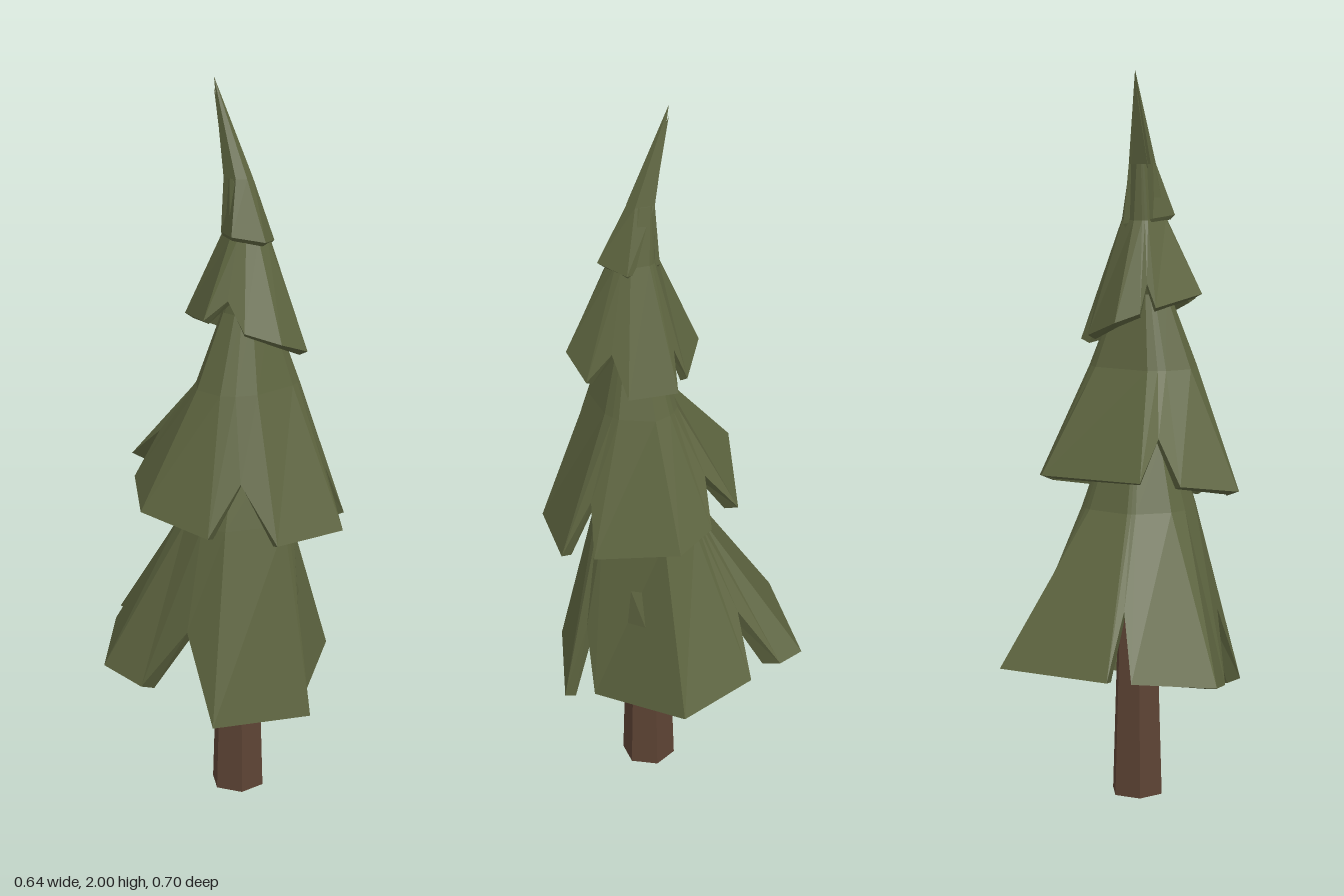
import * as THREE from 'three';

const green = new THREE.MeshStandardMaterial({ color: 0x5e6540, flatShading: true, side: THREE.DoubleSide });
const brown = new THREE.MeshStandardMaterial({ color: 0x5d4334, flatShading: true });

const angleFrom = (ring, p) => Math.atan2(p.z - ring.z, p.x - ring.x);

// Point on a horizontal ring, with depth as its z to x ratio
const onRing = (ring, angle, depth) => new THREE.Vector3(
  ring.x + ring.r * Math.cos(angle), ring.y, ring.z + ring.r * depth * Math.sin(angle));

// Moves a point towards the axis of a ring to give the skirt its thickness
const inset = (p, ring, scale, drop) => new THREE.Vector3(
  ring.x + (p.x - ring.x) * scale, p.y - drop, ring.z + (p.z - ring.z) * scale);

// Hem of a tier: bough corners on a tilted plane, with a V notch between neighbouring boughs
function hemPoints({ ring, depth, tilt, notch, boughs }) {
  const onHem = ([x, z]) => new THREE.Vector3(x, tilt.y + tilt.x * x + tilt.z * z, z);
  return boughs.flatMap((bough, i) => {
    const corners = bough.map(onHem);
    if (boughs.length === 1) return corners;
    const following = onHem(boughs[(i + 1) % boughs.length][0]);
    const gap = corners[corners.length - 1].clone().lerp(following, 0.5);
    gap.lerp(onRing(ring, angleFrom(ring, gap), depth), notch);
    return [...corners, gap];
  });
}

// Thick skirt: outer wall down to the hem, a rim, then the inner wall back up
function addTier(tree, name, tier) {
  const { top, ring, depth } = tier;
  const columns = hemPoints(tier).map((hem) => {
    const angle = angleFrom(ring, hem);
    const upper = onRing(top, angle, depth);
    const middle = onRing(ring, angle, depth);
    return [upper, middle, hem, inset(hem, ring, 0.87, 0.012), inset(middle, ring, 0.8, 0.03), inset(upper, top, 0.7, 0.03)];
  });

  const triangles = [];
  columns.forEach((col, i) => {
    const next = columns[(i + 1) % columns.length];
    for (let r = 0; r < col.length - 1; r++) {
      triangles.push(next[r + 1], col[r + 1], col[r]);
      if (!next[r].equals(col[r])) triangles.push(next[r + 1], col[r], next[r]);
    }
  });
  const geometry = new THREE.BufferGeometry().setFromPoints(triangles);
  geometry.computeVertexNormals();
  const mesh = new THREE.Mesh(geometry, green);
  mesh.name = name;
  tree.add(mesh);
}

export function createModel() {
  const tree = new THREE.Group();
  tree.name = 'pineTree';

  // Six-sided tapered trunk
  const trunk = new THREE.Mesh(new THREE.CylinderGeometry(0.045, 0.075, 0.95, 6).rotateY(Math.PI / 6), brown);
  trunk.name = 'trunk';
  trunk.position.set(0, 0.475, 0.0625);
  tree.add(trunk);

  // Branch tiers from the bottom up; bough corners are [x, z] in the order right, front, left, back
  addTier(tree, 'lowerBranches', {
    top: { x: 0, y: 1.0, z: 0.08, r: 0.1 },
    ring: { x: 0, y: 0.82, z: 0.07, r: 0.16 },
    depth: 1, notch: 0.42, tilt: { x: 0, y: 0.355, z: -0.2 },
    boughs: [
      [[0.27, -0.145], [0.32, 0.07], [0.08, 0.25]],
      [[0.04, 0.325], [-0.235, 0.245]],
      [[-0.29, 0], [-0.32, -0.13], [-0.15, -0.305]],
      [[-0.1, -0.35], [0.235, -0.31], [0.25, -0.24]],
    ],
  });

  addTier(tree, 'middleBranches', {
    top: { x: 0, y: 1.4, z: 0.1, r: 0.075 },
    ring: { x: 0, y: 1.2, z: 0.1, r: 0.155 },
    depth: 0.75, notch: 0.4, tilt: { x: 0, y: 0.89, z: -0.2 },
    boughs: [
      [[0.25, -0.03], [0.31, 0.08], [0.19, 0.28]],
      [[0.125, 0.35], [-0.09, 0.335]],
      [[-0.235, 0.225], [-0.31, 0.035], [-0.21, -0.125]],
      [[-0.14, -0.23], [0.2, -0.125]],
    ],
  });

  addTier(tree, 'upperBranches', {
    top: { x: -0.01, y: 1.75, z: 0.07, r: 0.033 },
    ring: { x: -0.005, y: 1.6, z: 0.095, r: 0.06 },
    depth: 1.08, notch: 0.3, tilt: { x: -0.4, y: 1.335, z: 0 },
    boughs: [
      [[0.155, 0.03], [0.15, 0.165]],
      [[0.075, 0.255], [-0.03, 0.275], [-0.105, 0.215]],
      [[-0.165, 0.12], [-0.1, -0.04]],
      [[-0.06, -0.055], [0, -0.085], [0.115, -0.01]],
    ],
  });

  addTier(tree, 'treeTip', {
    top: { x: -0.025, y: 2, z: -0.01, r: 0 },
    ring: { x: -0.01, y: 1.75, z: 0.07, r: 0.037 },
    depth: 1.08, notch: 0, tilt: { x: -0.2, y: 1.595, z: 0 },
    boughs: [[[0.06, 0.135], [-0.015, 0.19], [-0.08, 0.13], [-0.05, 0.05], [0.03, 0.035]]],
  });

  return tree;
}
